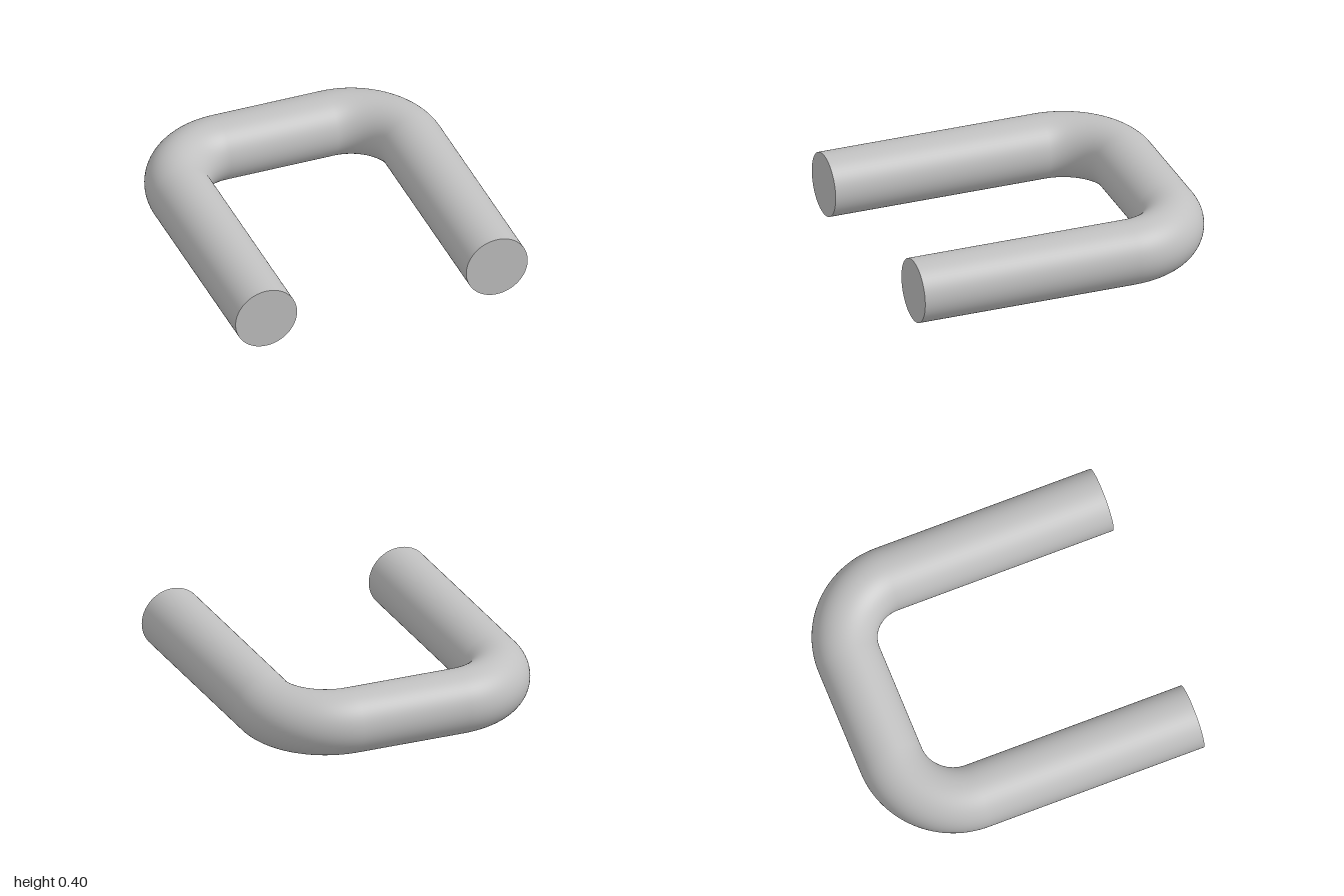
import * as THREE from 'three';

const R = 0.2;        // bar radius
const BEND = 0.4;     // centre-line radius of the corners
const LEG_X = 0.75;   // centre line of each leg
const BACK_Z = -0.8;  // centre line of the crossbar
const FRONT_Z = 1;    // flat ends of the legs
const SIDES = 64;

export function createModel() {
  const group = new THREE.Group();
  group.name = 'uShapedBar';
  const steel = new THREE.MeshStandardMaterial({ color: 0xc0c0c0 });
  steel.name = 'lightGrey';

  const add = (name, geometry, x, z) => {
    const mesh = new THREE.Mesh(geometry, steel);
    mesh.name = name;
    mesh.position.set(x, R, z);
    group.add(mesh);
  };

  const bendX = LEG_X - BEND;
  const bendZ = BACK_Z + BEND;
  const legLength = FRONT_Z - bendZ;

  // Straight bar across the back, joined to the corners at both ends
  const crossbar = new THREE.CylinderGeometry(R, R, 2 * bendX, SIDES, 1, true);
  add('crossbar', crossbar.rotateZ(Math.PI / 2), 0, BACK_Z);

  for (const [label, side] of [['left', 1], ['right', -1]]) {
    // Straight leg with a flat front end
    const leg = new THREE.CylinderGeometry(R, R, legLength, SIDES);
    add(label + 'Leg', leg.rotateX(Math.PI / 2), side * LEG_X, bendZ + legLength / 2);

    // Quarter-turn corner
    const corner = new THREE.TorusGeometry(BEND, R, SIDES, 32, Math.PI / 2);
    corner.rotateX(-Math.PI / 2);
    if (side < 0) corner.rotateY(Math.PI / 2);
    add(label + 'Corner', corner, side * bendX, bendZ);
  }
  return group;
}
